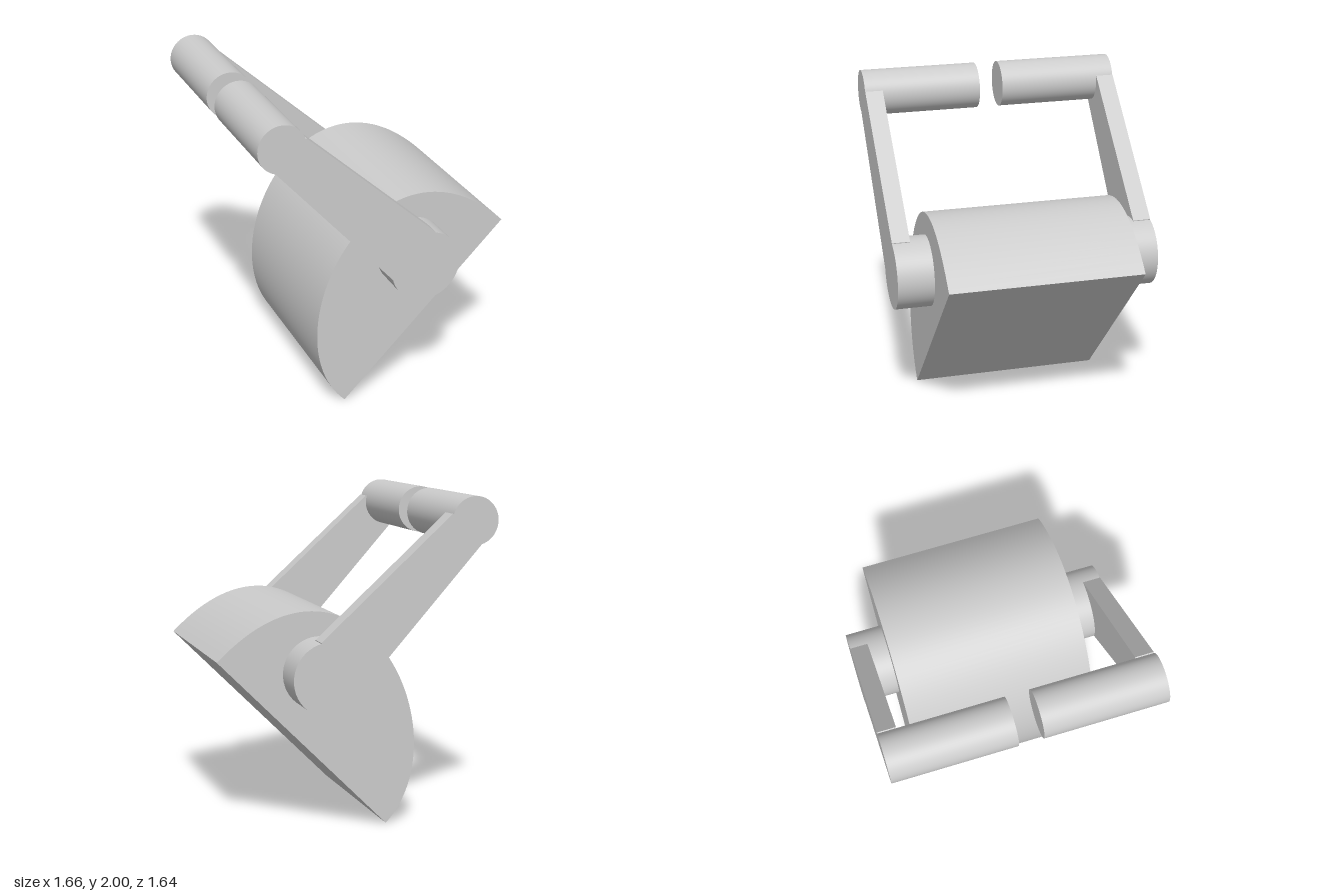
import * as THREE from 'three';
import { toCreasedNormals } from 'three/addons/utils/BufferGeometryUtils.js';

const HUB = [0.21, 0.96], GRIP = [-0.685, 1.855];
const OUTER = 0.82; // outer face of the hubs, arms and grips

export function createModel() {
  const group = new THREE.Group();
  const material = new THREE.MeshStandardMaterial({ color: 0xcccccc });

  function add(name, geometry, x = 0, y = 0, z = 0) {
    const mesh = new THREE.Mesh(geometry, material);
    mesh.name = name;
    mesh.position.set(x, y, z);
    group.add(mesh);
  }

  // Extrudes a profile along z, starting at z = z0
  function slab(shape, z0, depth) {
    const geometry = new THREE.ExtrudeGeometry(shape, { depth, bevelEnabled: false, curveSegments: 64 });
    geometry.translate(0, 0, z0);
    return toCreasedNormals(geometry, 0.5);
  }

  // Cylinder lying along z between two depths
  function rod(name, [x, y], radius, z0, z1) {
    const geometry = new THREE.CylinderGeometry(radius, radius, Math.abs(z1 - z0), 64);
    geometry.rotateX(Math.PI / 2);
    add(name, geometry, x, y, (z0 + z1) / 2);
  }

  // Tilted body: flat base and a lopsided dome
  const body = new THREE.Shape();
  body.moveTo(-0.22, 0);
  body.lineTo(0.828, 1.054);
  body.bezierCurveTo(-0.045, 1.922, -0.742, 0.519, -0.22, 0);
  add('body', slab(body, -0.595, 1.19));

  // Tapered arm outline, running from the hub to the grip
  const arm = new THREE.Shape([
    [0, 0.905], HUB, [0.265, 1.178], [-0.54, 1.9], GRIP, [-0.725, 1.714],
  ].map(([x, y]) => new THREE.Vector2(x, y)));

  // Front and back halves of the handle, with a gap between the grips
  for (const [side, s] of [['front', 1], ['back', -1]]) {
    rod(side + 'Hub', HUB, 0.22, s * 0.59, s * OUTER);
    add(side + 'Arm', slab(arm, s > 0 ? 0.708 : -OUTER, OUTER - 0.708));
    rod(side + 'Grip', GRIP, 0.145, s * 0.075, s * OUTER);
  }
  return group;
}
